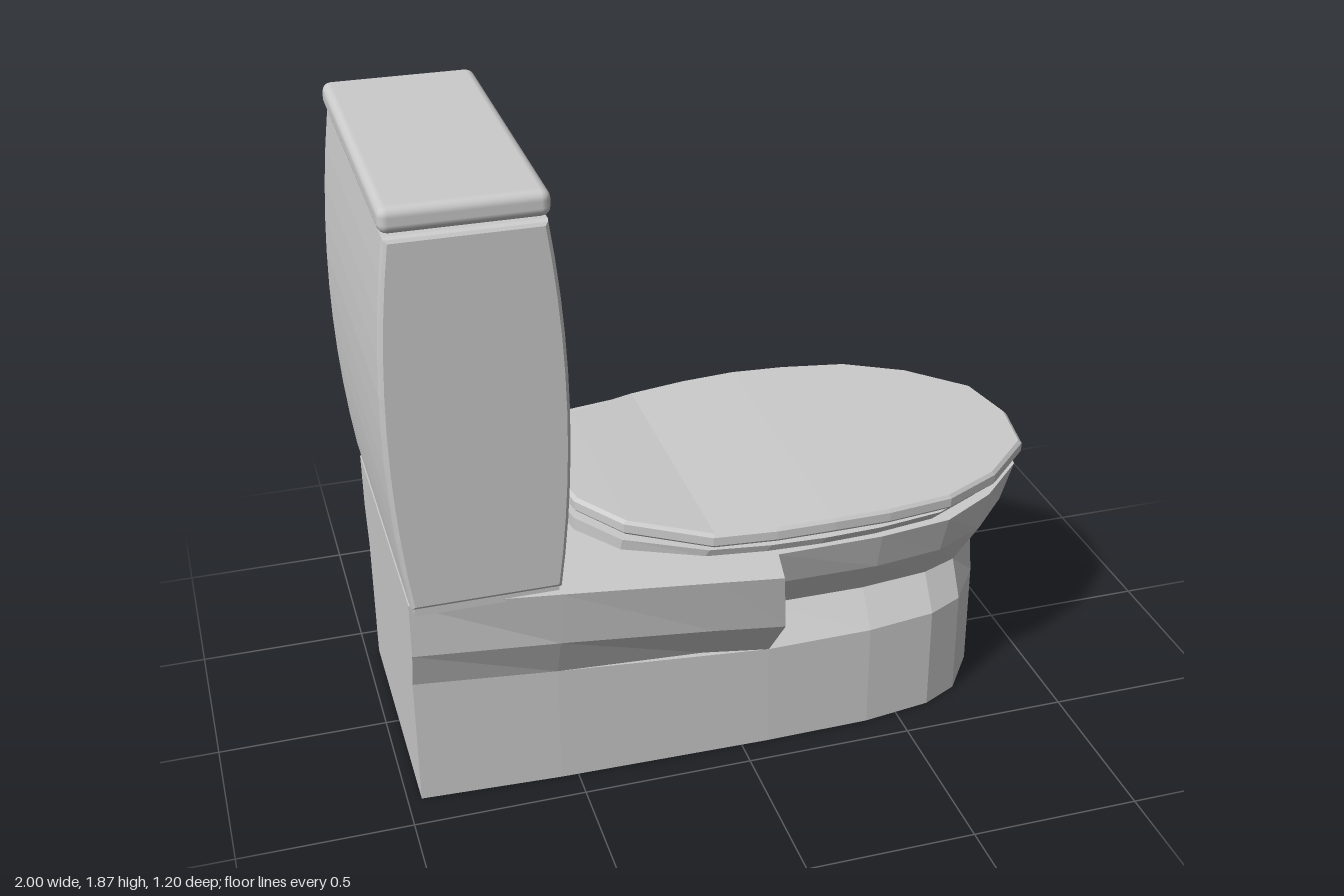
import * as THREE from 'three';
import { RoundedBoxGeometry } from 'three/addons/geometries/RoundedBoxGeometry.js';

const grey = new THREE.MeshStandardMaterial({ color: 0xcccccc });
const facetedGrey = new THREE.MeshStandardMaterial({ color: 0xcccccc, flatShading: true });
const dark = new THREE.MeshStandardMaterial({ color: 0x555555 });

// Closed body from stacked half outlines ([x, y, z], nose to tail), mirrored across z
function loft(sections) {
  const pos = [];
  const quad = (a, b, c, d) => pos.push(...a, ...b, ...c, ...a, ...c, ...d);
  const flip = ([x, y, z]) => [x, y, -z];
  const rings = sections.map(s => [...s, ...s.map(flip).reverse()]);
  for (let k = 0; k + 1 < rings.length; k++) {
    const lo = rings[k], hi = rings[k + 1], n = lo.length;
    for (let i = 0; i < n; i++) {
      const j = (i + 1) % n;
      if (lo[i][2] === 0 && Math.abs(lo[j][2]) === 0) continue;
      quad(lo[i], hi[i], hi[j], lo[j]);
    }
  }
  // caps are strips running across the body, so they may bend along x
  const bottom = sections[0], top = sections[sections.length - 1];
  for (let i = 0; i + 1 < top.length; i++) {
    quad(top[i], flip(top[i]), flip(top[i + 1]), top[i + 1]);
    quad(bottom[i], bottom[i + 1], flip(bottom[i + 1]), flip(bottom[i]));
  }
  const geo = new THREE.BufferGeometry();
  geo.setAttribute('position', new THREE.Float32BufferAttribute(pos, 3));
  geo.computeVertexNormals();
  return geo;
}

const level = (y, pts) => pts.map(([x, z]) => [x, y, z]);

// Linear interpolation through [x, y] pairs
function along(table, x) {
  for (let i = 0; i + 1 < table.length; i++) {
    const [x0, y0] = table[i], [x1, y1] = table[i + 1];
    if (x <= x1) return y0 + (y1 - y0) * (x - x0) / (x1 - x0);
  }
  return table[table.length - 1][1];
}

export function createModel() {
  const model = new THREE.Group();
  const add = (name, geo, mat = facetedGrey) => {
    const mesh = new THREE.Mesh(geo, mat);
    mesh.name = name;
    model.add(mesh);
    return mesh;
  };

  // Pedestal
  const foot = [[0.87, 0], [0.82, 0.19], [0.72, 0.33], [0.61, 0.385], [0.4, 0.415],
    [0.08, 0.42], [-0.55, 0.41], [-0.96, 0.39]];
  add('pedestal', loft([
    level(0, foot),
    foot.map(([x, z]) => [x, along([[-0.96, 0.4], [-0.55, 0.375], [0.08, 0.33]], x), z]),
  ]));

  // Bowl, pinched at the waist and flaring to the rim
  add('bowl', loft([
    level(0.33, [...foot.slice(0, 6), [-0.2, 0.41]]),
    level(0.435, [[0.87, 0], [0.82, 0.17], [0.72, 0.27], [0.61, 0.315], [0.4, 0.34], [0.08, 0.34], [-0.2, 0.34]]),
    level(0.57, [[0.95, 0], [0.9, 0.19], [0.77, 0.33], [0.61, 0.41], [0.4, 0.44], [0.08, 0.44], [-0.2, 0.42]]),
    level(0.688, [[0.985, 0], [0.94, 0.19], [0.79, 0.34], [0.62, 0.44], [0.4, 0.47], [0.08, 0.475], [-0.2, 0.45]]),
  ]));

  // Rear deck with side wings
  add('rearDeck', loft([
    [[0.085, 0.33, 0.36], [0.08, 0.33, 0.42], [-0.12, 0.355, 0.415], [-0.55, 0.375, 0.41], [-0.96, 0.4, 0.39]],
    [[0.09, 0.5, 0.4], [0.08, 0.5, 0.56], [-0.12, 0.505, 0.53], [-0.55, 0.51, 0.47], [-0.96, 0.52, 0.43]],
    [[0.085, 0.69, 0.47], [0.06, 0.69, 0.6], [-0.12, 0.69, 0.57], [-0.55, 0.69, 0.5], [-0.96, 0.69, 0.435]],
  ]));

  // Seat and lid share one oval outline
  const oval = [[0.995, 0], [0.96, 0.19], [0.8, 0.35], [0.62, 0.445], [0.42, 0.475], [0.25, 0.482],
    [0.08, 0.475], [-0.1, 0.45], [-0.33, 0.34], [-0.435, 0.19], [-0.47, 0]];
  const shrink = (s, x0 = 0.26) => oval.map(([x, z]) => [x0 + (x - x0) * s, z * s]);
  const seatTop = [[-0.48, 0.735], [-0.1, 0.715], [1, 0.715]];
  add('seat', loft([
    level(0.692, shrink(0.955, -0.47)),
    shrink(0.975, -0.47).map(([x, z]) => [x, along(seatTop, x), z]),
  ]));

  const lidTop = [[-0.47, 0.802], [-0.33, 0.792], [-0.1, 0.77], [0.25, 0.779], [1, 0.765]];
  const lidLayer = (s, drop) => shrink(s).map(([x, z]) => [x, along(lidTop, x) - drop, z]);
  add('lid', loft([lidLayer(0.99, 0.043), lidLayer(1, 0.036), lidLayer(1, 0.01), lidLayer(0.985, 0)]));

  // Tank with bulging front and back
  const profile = new THREE.Shape();
  const steps = 10, bulge = t => 0.04 * (1 - (2 * t - 1) ** 2);
  for (let side = -1; side <= 1; side += 2) {
    for (let i = 0; i <= steps; i++) {
      const t = side < 0 ? 1 - i / steps : i / steps;
      const x = -0.7525 + side * (0.208 + bulge(t)), y = 0.712 + 1.078 * t;
      if (side < 0 && i === 0) profile.moveTo(x, y);
      else profile.lineTo(x, y);
    }
  }
  const tank = add('tank', new THREE.ExtrudeGeometry(profile, {
    depth: 0.96, bevelThickness: 0.02, bevelSize: 0.012, bevelOffset: -0.012, bevelSegments: 2,
  }), grey);
  tank.position.z = -0.48;
  add('tankFoot', new THREE.BoxGeometry(0.4, 0.04, 0.95)).position.set(-0.75, 0.7, 0);
  add('tankLid', new RoundedBoxGeometry(0.435, 0.072, 1, 2, 0.026), grey).position.set(-0.7525, 1.834, 0);

  // Flush lever on the tank front
  const leverShape = new THREE.Shape();
  leverShape.moveTo(0.228, 1.707);
  leverShape.lineTo(0.232, 1.68);
  leverShape.quadraticCurveTo(0.3, 1.62, 0.417, 1.61);
  leverShape.absarc(0.412, 1.666, 0.057, -Math.PI / 2, Math.PI * 0.7, false);
  leverShape.quadraticCurveTo(0.35, 1.67, 0.31, 1.67);
  leverShape.quadraticCurveTo(0.27, 1.675, 0.228, 1.707);
  const lever = add('flushLever', new THREE.ExtrudeGeometry(leverShape, {
    depth: 0.035, bevelEnabled: false, curveSegments: 10,
  }), dark);
  lever.rotation.y = Math.PI / 2;
  lever.position.x = -0.515;
  const stem = add('leverStem', new THREE.CylinderGeometry(0.04, 0.04, 0.05, 12), dark);
  stem.rotation.z = Math.PI / 2;
  stem.position.set(-0.525, 1.685, -0.41);

  return model;
}
